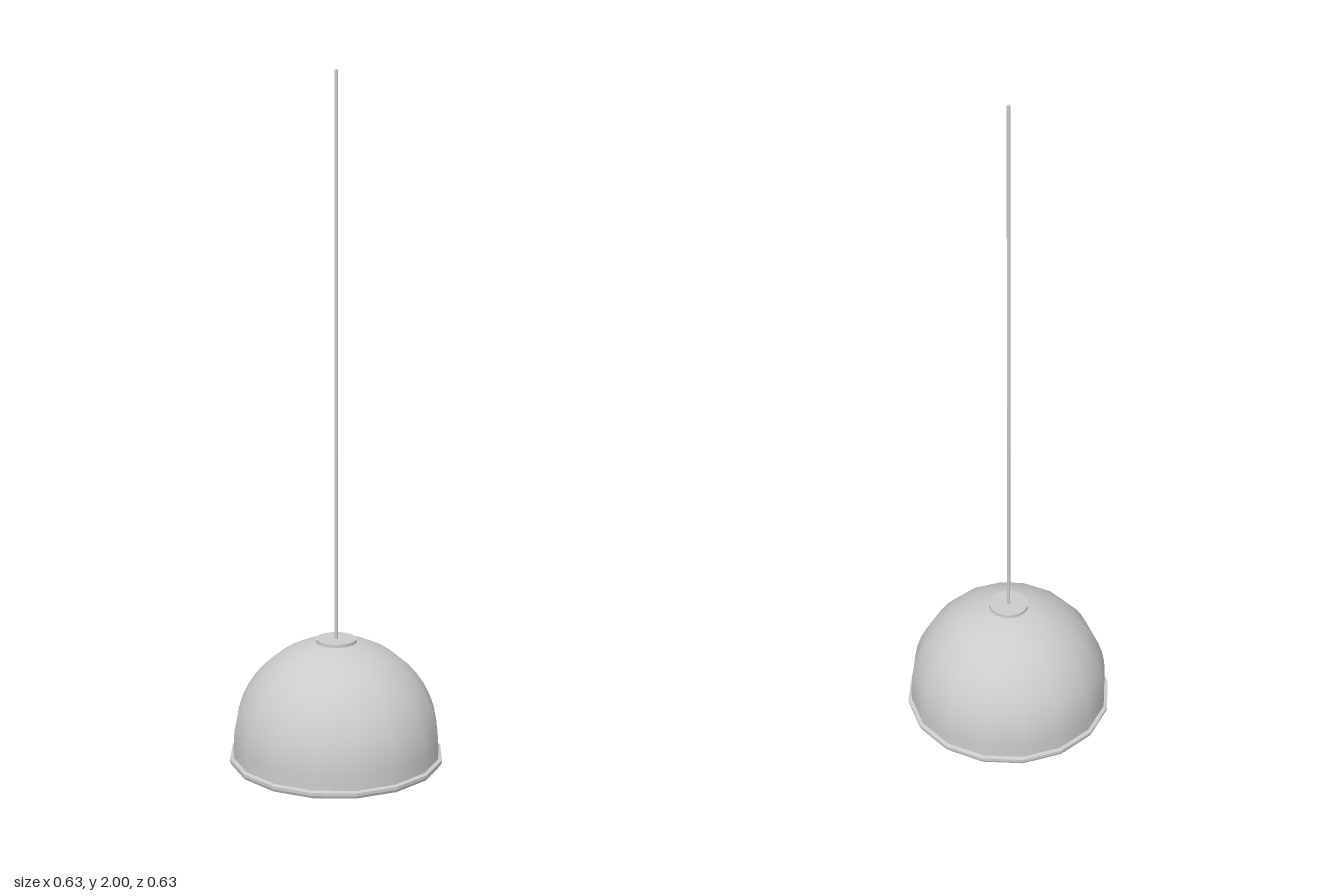
import * as THREE from 'three';

const SIDES = 16;

export function createModel() {
  const group = new THREE.Group();
  const material = new THREE.MeshStandardMaterial({ color: 0xcccccc });
  const thin = new THREE.MeshStandardMaterial({ color: 0xcccccc, side: THREE.DoubleSide });

  const add = (name, geometry, y = 0, mat = material) => {
    const mesh = new THREE.Mesh(geometry, mat);
    mesh.name = name;
    mesh.position.y = y;
    group.add(mesh);
  };

  // Hemispherical shade with a short straight skirt
  const shade = [new THREE.Vector2(0.305, 0.01)];
  for (let i = 0; i <= 12; i++) {
    const a = (i / 12) * Math.PI / 2;
    shade.push(new THREE.Vector2(0.305 * Math.cos(a), 0.06 + 0.305 * Math.sin(a)));
  }
  add('shade', new THREE.LatheGeometry(shade, SIDES), 0, thin);

  // Thin lip around the opening, one strip per face to keep its edges sharp
  const lip = [[0.3, 0], [0.312, 0], [0.316, 0.008], [0.316, 0.017], [0.305, 0.02], [0.3, 0.02], [0.3, 0]];
  const rim = new THREE.LatheGeometry(lip.map(([r, y]) => new THREE.Vector2(r, y)), SIDES).toNonIndexed();
  rim.computeVertexNormals();
  add('rim', rim);

  // Flat diffuser set inside the shade
  add('diffuser', new THREE.CylinderGeometry(0.302, 0.302, 0.004, SIDES), 0.062);

  // Cap on the crown and hanging cable
  add('topCap', new THREE.CylinderGeometry(0.06, 0.06, 0.012, SIDES), 0.362);
  add('cable', new THREE.CylinderGeometry(0.005, 0.005, 1.64, SIDES), 1.18);

  return group;
}
